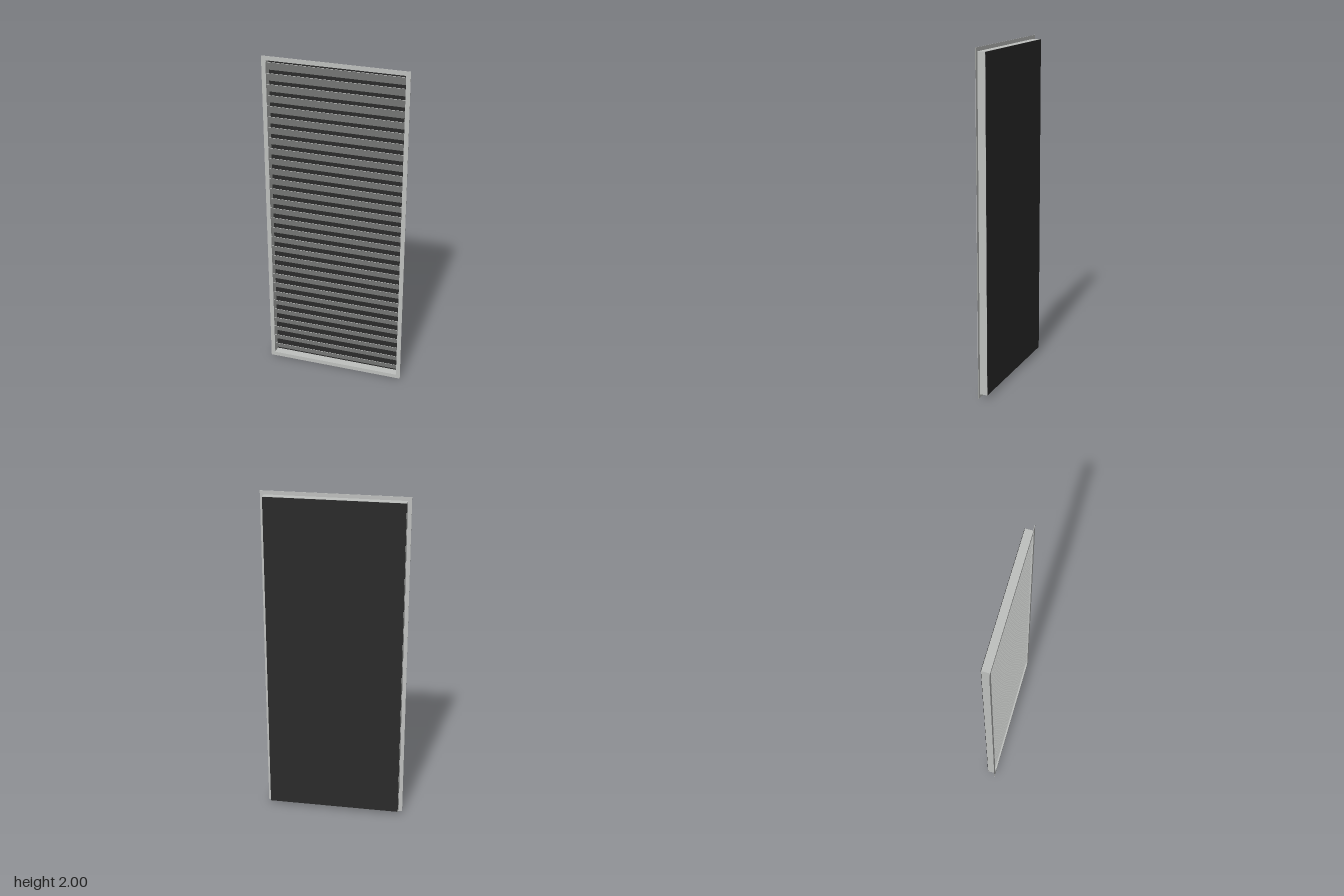
import * as THREE from 'three';

const metal = new THREE.MeshStandardMaterial({ color: 0xbfc1bf });
metal.name = 'light grey metal';
const dark = new THREE.MeshStandardMaterial({ color: 0x2b2b2b });
dark.name = 'dark backing';

// Rectangular ring centred on y = 1, with its back at z
function ring(name, w, h, holeW, holeH, z, depth) {
  const rect = (Type, a, b) => {
    const p = new Type();
    p.moveTo(-a / 2, -b / 2);
    p.lineTo(a / 2, -b / 2);
    p.lineTo(a / 2, b / 2);
    p.lineTo(-a / 2, b / 2);
    p.closePath();
    return p;
  };
  const shape = rect(THREE.Shape, w, h);
  shape.holes.push(rect(THREE.Path, holeW, holeH));
  const mesh = new THREE.Mesh(
    new THREE.ExtrudeGeometry(shape, { depth, bevelEnabled: false }), metal);
  mesh.name = name;
  mesh.position.set(0, 1, z);
  return mesh;
}

export function createModel() {
  const group = new THREE.Group();
  group.name = 'louvreGrille';

  // Front flange and the sleeve behind it
  group.add(ring('flange', 0.844, 2, 0.794, 1.95, 0.0225, 0.0025));
  group.add(ring('sleeve', 0.8, 1.956, 0.794, 1.95, -0.023, 0.0455));

  // Dark panel closing the back
  const back = new THREE.Mesh(new THREE.BoxGeometry(0.798, 1.954, 0.002), dark);
  back.name = 'backPanel';
  back.position.set(0, 1, -0.024);
  group.add(back);

  // Slats rise towards the front
  const count = 30, pitch = 0.0645, rise = 0.058, depth = 0.041;
  const slatGeometry = new THREE.BoxGeometry(0.794, Math.hypot(rise, depth), 0.002);
  const slats = new THREE.Group();
  slats.name = 'slats';
  for (let i = 0; i < count; i++) {
    const slat = new THREE.Mesh(slatGeometry, metal);
    slat.name = 'slat';
    slat.position.set(0, 1 + (i - (count - 1) / 2) * pitch, 0);
    slat.rotation.x = Math.atan2(depth, rise);
    slats.add(slat);
  }
  group.add(slats);
  return group;
}
